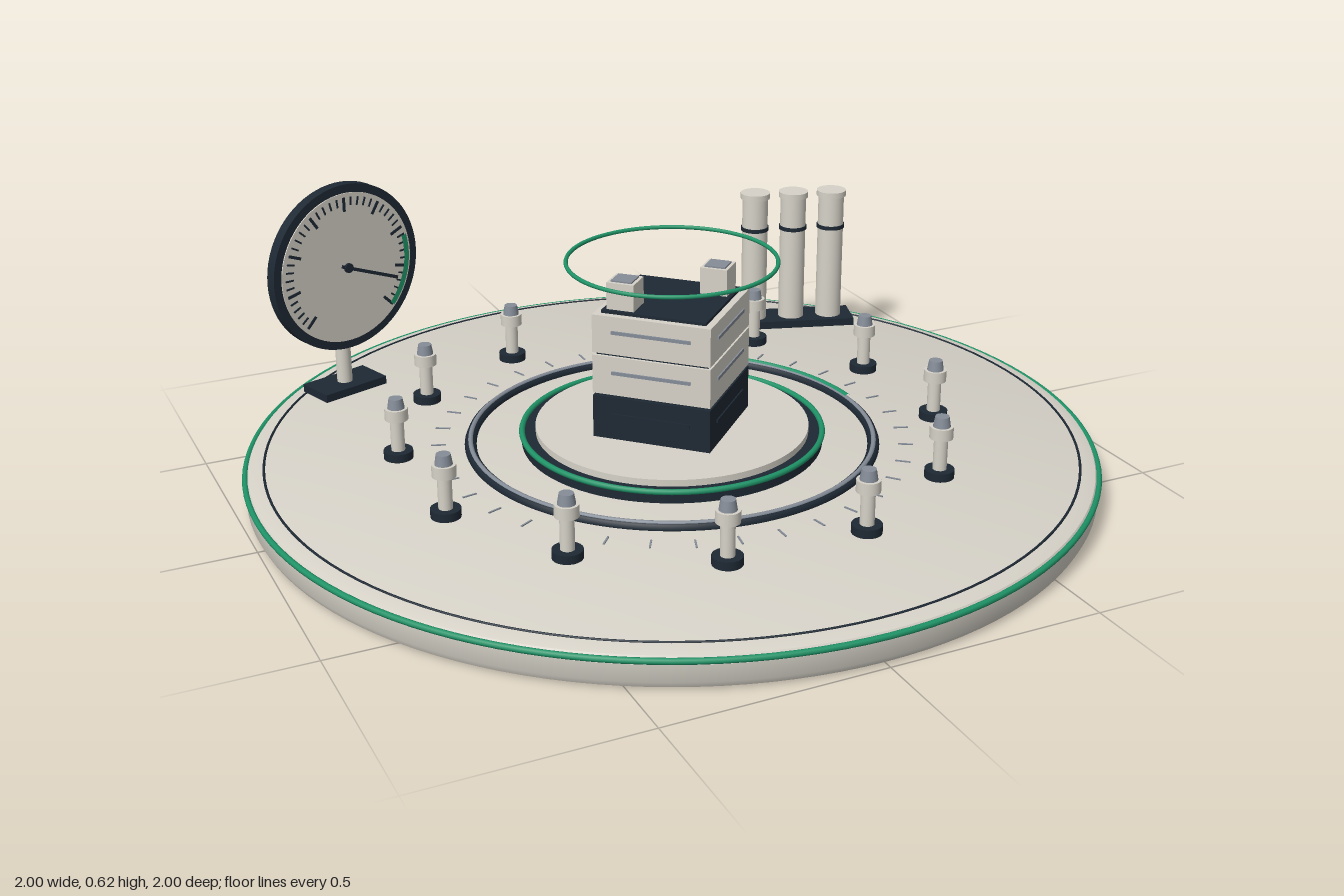
import * as THREE from 'three';
import { toCreasedNormals } from 'three/addons/utils/BufferGeometryUtils.js';

const mat = (name, color) => {
  const m = new THREE.MeshStandardMaterial({ color });
  m.name = name;
  return m;
};

export function createModel() {
  const cream = mat('cream', 0xd6d2c8);
  const dark = mat('dark navy', 0x1e2934);
  const green = mat('green', 0x1f9468);
  const steel = mat('steel', 0x858d98);
  const model = new THREE.Group();
  model.name = 'instrumentPlatform';

  const add = (parent, name, geo, material, x = 0, y = 0, z = 0) => {
    const mesh = new THREE.Mesh(geo, material);
    mesh.name = name;
    mesh.position.set(x, y, z);
    parent.add(mesh);
    return mesh;
  };
  const group = (name, x, y, z, turn = 0, parent = model) => {
    const g = new THREE.Group();
    g.name = name;
    g.position.set(x, y, z);
    g.rotation.y = turn;
    parent.add(g);
    return g;
  };
  const box = (w, h, d) => new THREE.BoxGeometry(w, h, d);
  // Upright cylinder given by its bottom and top heights
  const cyl = (parent, name, r, y0, y1, material, x = 0, z = 0, sides = 24, rTop = r) =>
    add(parent, name, new THREE.CylinderGeometry(rTop, r, y1 - y0, sides), material, x, (y0 + y1) / 2, z);
  // Horizontal ring; its arc runs from +x towards -z
  const ring = (name, r, tube, y, material, arc = Math.PI * 2) =>
    add(model, name, new THREE.TorusGeometry(r, tube, 8, 128, arc).rotateX(-Math.PI / 2), material, 0, y, 0);
  const lathe = (pts, sides) =>
    toCreasedNormals(new THREE.LatheGeometry(pts.map(p => new THREE.Vector2(...p)), sides), 0.6);

  // Base disc with rounded lower edge and bevelled top
  add(model, 'baseDisc', lathe([[0, 0], [0.97, 0], [0.986, 0.006], [0.993, 0.02], [0.995, 0.06],
    [0.985, 0.075], [0.96, 0.083], [0, 0.083]], 128), cream);
  ring('rimStripe', 0.993, 0.007, 0.067, green);
  ring('topSeam', 0.95, 0.003, 0.083, dark);

  // Outer track with a green sector
  ring('track', 0.475, 0.014, 0.085, dark);
  ring('trackInlay', 0.475, 0.006, 0.0955, steel);
  ring('trackSector', 0.479, 0.008, 0.097, green, 0.75);

  // Fine radial marks outside the track
  for (let i = 0; i < 36; i++) {
    const g = group('floorMark', 0, 0, 0, i * Math.PI / 18);
    add(g, 'mark', box(0.035, 0.003, 0.004), steel, 0.55, 0.084, 0);
  }

  // Central turntable
  cyl(model, 'turntableSkirt', 0.355, 0.083, 0.108, dark, 0, 0, 96);
  ring('turntableStripe', 0.354, 0.007, 0.11, green);
  cyl(model, 'turntableTop', 0.322, 0.108, 0.124, cream, 0, 0, 96);

  // Stacked square tower, set corner-on
  const tower = group('tower', 0, 0, 0, Math.PI / 4);
  add(tower, 'towerCore', box(0.27, 0.3, 0.27), dark, 0, 0.275, 0);
  [[0.124, 0.228, dark], [0.234, 0.328, cream], [0.334, 0.426, cream]].forEach(([y0, y1, m]) => {
    const mid = (y0 + y1) / 2;
    add(tower, 'towerBlock', box(0.285, y1 - y0, 0.285), m, 0, mid, 0);
    for (let k = 0; k < 4; k++) {
      const face = group('towerFace', 0, 0, 0, k * Math.PI / 2, tower);
      add(face, 'slot', box(0.19, 0.008, 0.006), m === dark ? dark : steel, 0, mid + 0.008, 0.143);
    }
  });
  add(tower, 'towerLid', box(0.252, 0.008, 0.252), dark, 0, 0.429, 0);
  for (const s of [-1, 1]) {
    const knob = group('towerKnob', s * 0.118, 0, 0, Math.PI / 4);
    add(knob, 'knobBlock', box(0.066, 0.066, 0.066), cream, 0, 0.464, 0);
    add(knob, 'knobCap', box(0.05, 0.005, 0.05), steel, 0, 0.498, 0);
  }
  ring('floatingRing', 0.243, 0.005, 0.525, green);

  // Twelve posts in a circle
  for (let i = 0; i < 12; i++) {
    const a = (i + 0.5) * Math.PI / 6;
    const post = group('post', 0.643 * Math.cos(a), 0, 0.643 * Math.sin(a));
    cyl(post, 'postFoot', 0.034, 0.083, 0.103, dark);
    cyl(post, 'postStem', 0.016, 0.103, 0.182, cream);
    cyl(post, 'postCollar', 0.027, 0.18, 0.208, cream);
    cyl(post, 'postTip', 0.02, 0.208, 0.232, steel, 0, 0, 24, 0.016);
  }

  // Round dial on a stand
  const dial = group('dial', -0.605, 0.413, -0.593, 0.33);
  const disc = (name, r, z0, z1, m) =>
    add(dial, name, new THREE.CylinderGeometry(r, r, z1 - z0, 72).rotateX(Math.PI / 2), m, 0, 0, (z0 + z1) / 2);
  disc('dialCase', 0.209, -0.016, 0.012, dark);
  disc('dialFace', 0.188, 0.012, 0.015, cream);
  const hand = (name, angle, r0, r1, w, z, m) => {
    const mesh = add(dial, name, box(r1 - r0, w, 0.003), m,
      Math.cos(angle) * (r0 + r1) / 2, Math.sin(angle) * (r0 + r1) / 2, z);
    mesh.rotation.z = angle;
  };
  for (let i = 0; i <= 40; i++) {
    const major = i % 5 === 0;
    hand('dialTick', (-45 + i * 6.75) * Math.PI / 180, major ? 0.143 : 0.157, 0.178, major ? 0.007 : 0.004, 0.016, dark);
  }
  add(dial, 'dialSector', new THREE.RingGeometry(0.168, 0.182, 32, 1, -Math.PI / 4, 1.05), green, 0, 0, 0.0185);
  hand('dialNeedle', -0.39, -0.02, 0.155, 0.008, 0.019, dark);
  add(dial, 'dialHub', new THREE.CylinderGeometry(0.012, 0.012, 0.006, 20).rotateX(Math.PI / 2), dark, 0, 0, 0.02);
  const stand = group('dialStand', -0.615, 0, -0.62, 0.33);
  add(stand, 'standFoot', box(0.18, 0.02, 0.1), dark, 0, 0.093, 0);
  cyl(stand, 'standPost', 0.019, 0.1, 0.31, cream);

  // Row of three tubes on a plate
  const rack = group('tubeRack', 0.618, 0, -0.55, -0.31);
  add(rack, 'rackPlate', box(0.33, 0.02, 0.1), dark, 0, 0.093, 0);
  for (const x of [-0.103, 0, 0.103]) {
    cyl(rack, 'tube', 0.034, 0.1, 0.445, cream, x, 0, 32);
    cyl(rack, 'tubeBand', 0.037, 0.351, 0.361, dark, x, 0, 32);
    cyl(rack, 'tubeCap', 0.039, 0.44, 0.455, cream, x, 0, 32);
  }
  return model;
}
